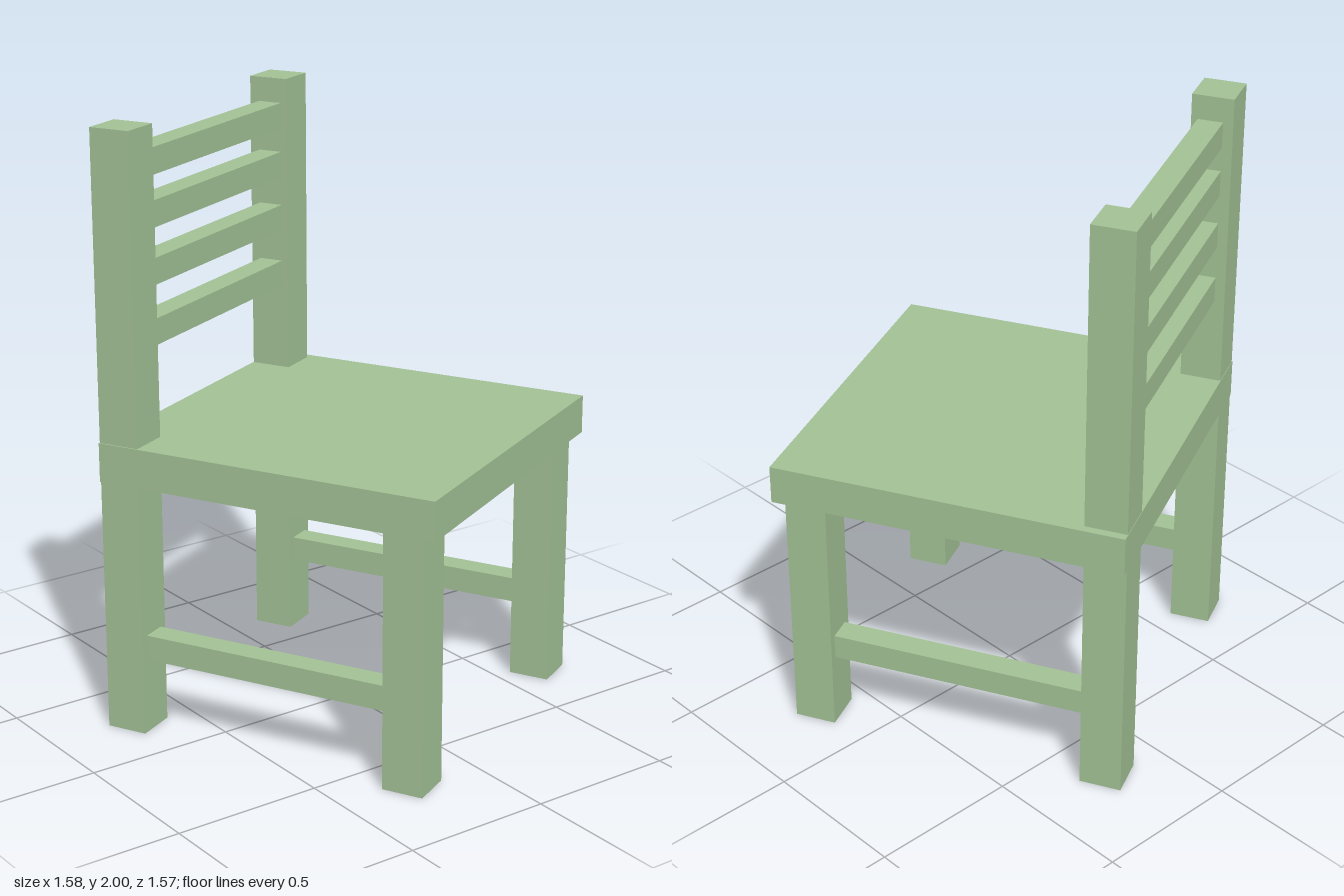
import * as THREE from 'three';

const material = new THREE.MeshStandardMaterial({ color: 0xa3c296 });

export function createModel() {
  const model = new THREE.Group();
  model.name = 'ladderBackChair';

  // The chair is built square to the axes, with its back at -x, then turned
  const chair = new THREE.Group();
  chair.name = 'chair';
  chair.rotation.y = THREE.MathUtils.degToRad(26.4);
  model.add(chair);

  // Box from its centre in x and z, and its bottom and top heights
  const addBox = (name, width, depth, x, z, bottom, top) => {
    const mesh = new THREE.Mesh(new THREE.BoxGeometry(width, top - bottom, depth), material);
    mesh.name = name;
    mesh.position.set(x, (bottom + top) / 2, z);
    chair.add(mesh);
  };

  const post = 0.139; // leg thickness
  const backX = -0.519, frontX = 0.486;
  const sides = [['left', 0.51], ['right', -0.487]];
  const midZ = (sides[0][1] + sides[1][1]) / 2;
  const rail = 0.084; // slat and stretcher thickness

  addBox('seat', 1.18, 1.168, 0, 0, 0.855, 0.985);

  // Legs and side stretchers
  for (const [side, z] of sides) {
    addBox(`${side}BackPost`, post, post, backX, z, 0, 2);
    addBox(`${side}FrontLeg`, post, post, frontX, z, 0, 0.855);
    addBox(`${side}Stretcher`, frontX - backX - post, rail, (frontX + backX) / 2, z, 0.253, 0.338);
  }

  // Back slats between the posts
  const slatLength = sides[0][1] - sides[1][1] - post;
  [1.28, 1.477, 1.662, 1.83].forEach((y, i) =>
    addBox(`backSlat${i + 1}`, rail, slatLength, -0.513, midZ, y, y + 0.087));

  return model;
}
